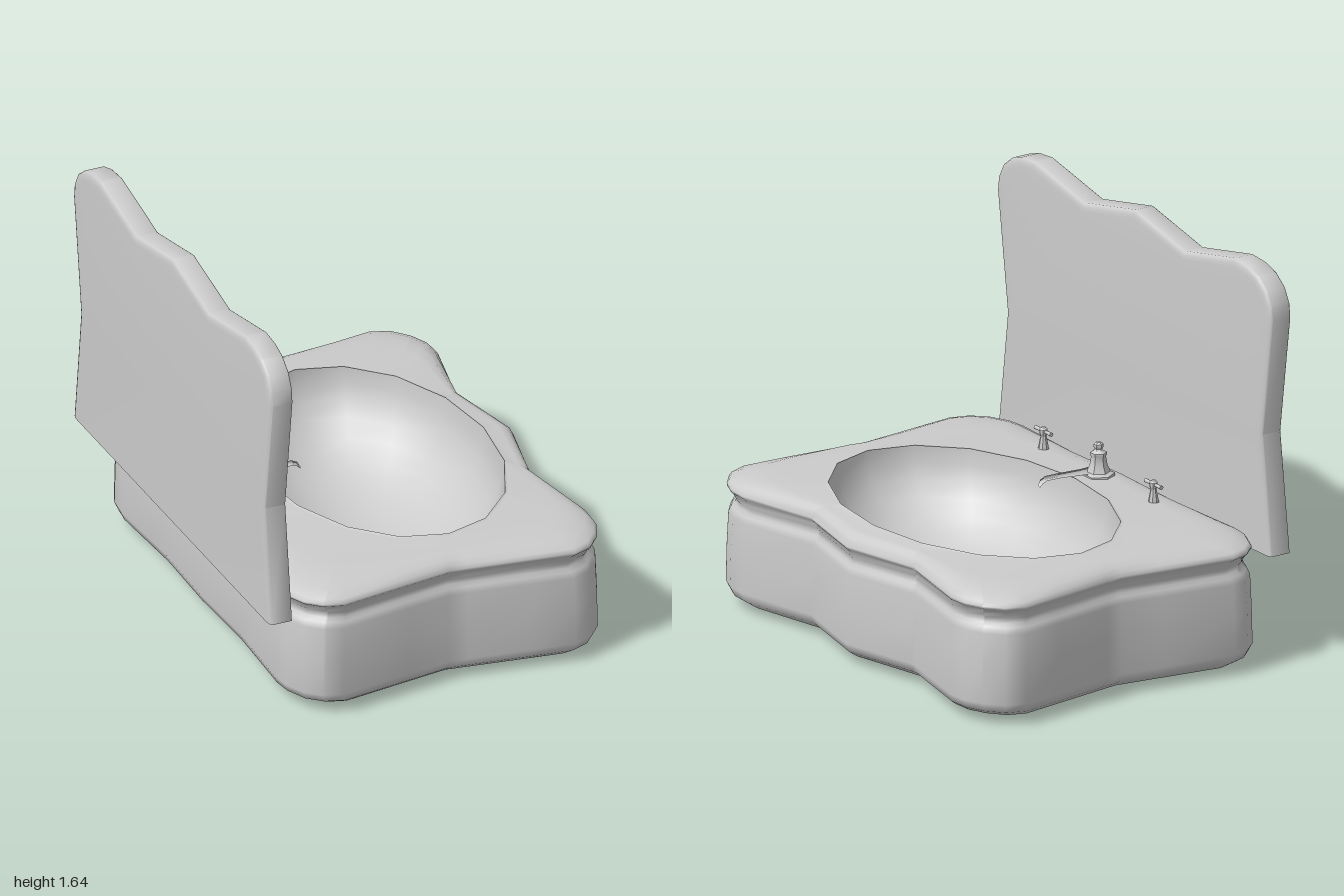
import * as THREE from 'three';
import { toCreasedNormals } from 'three/addons/utils/BufferGeometryUtils.js';

const material = new THREE.MeshStandardMaterial({ color: 0xcccccc });

function addMesh(parent, name, geometry) {
  const mesh = new THREE.Mesh(geometry, material);
  mesh.name = name;
  parent.add(mesh);
  return mesh;
}

// Skin closed rings of [x, y, z] points, one ring after another
function loft(rings) {
  const n = rings[0].length, index = [];
  for (let i = 0; i < rings.length - 1; i++) {
    for (let j = 0; j < n; j++) {
      const a = i * n + j, b = i * n + (j + 1) % n;
      index.push(a, a + n, b, b, a + n, b + n);
    }
  }
  const geometry = new THREE.BufferGeometry();
  geometry.setAttribute('position', new THREE.Float32BufferAttribute(rings.flat(2), 3));
  geometry.setIndex(index);
  geometry.computeVertexNormals();
  return geometry;
}

// Lathe with a few sides and crisp edges
const turned = (profile, sides) => toCreasedNormals(
  new THREE.LatheGeometry(profile.map(([r, y]) => new THREE.Vector2(r, y)), sides), 0.6);

// Plan of the basin: half outline, mirrored across z
const half = [[0.75, 0], [0.67, 0.36], [0.75, 0.73], [0.745, 0.82], [0.71, 0.9], [0.65, 0.97],
  [0.57, 1], [0.05, 0.925], [-0.45, 1], [-0.53, 0.975], [-0.59, 0.92], [-0.63, 0.83],
  [-0.64, 0.75], [-0.622, 0.36], [-0.632, 0]];
const outline = [...half, ...half.slice(1, -1).reverse().map(([x, z]) => [x, -z])];

// Sixteen-sided oval of the bowl
const BOWL_X = 0.125, MID_X = 0.055, RIM_Y = 0.566;
const oval = Array.from({ length: 16 }, (_, i) => {
  const t = i * Math.PI / 8;
  return [BOWL_X + 0.49 * Math.cos(t), 0.745 * Math.sin(t)];
});

// Point where a ray from the bowl centre crosses a polygon
function rayHit(polygon, t) {
  const dx = Math.cos(t), dz = Math.sin(t);
  let best = 0;
  polygon.forEach(([x1, z1], i) => {
    const [x2, z2] = polygon[(i + 1) % polygon.length];
    const ex = x2 - x1, ez = z2 - z1, det = dx * ez - dz * ex;
    if (Math.abs(det) < 1e-9) return;
    const r = ((x1 - BOWL_X) * ez - z1 * ex) / det;
    const s = ((x1 - BOWL_X) * dz - z1 * dx) / det;
    if (r > 0 && s > -1e-6 && s < 1 + 1e-6) best = Math.max(best, r);
  });
  return [BOWL_X + dx * best, dz * best];
}

function basinGeometry() {
  const angles = [...outline, ...oval]
    .map(([x, z]) => (Math.atan2(z, x - BOWL_X) + 2 * Math.PI) % (2 * Math.PI))
    .sort((a, b) => a - b)
    .filter((t, i, all) => i === 0 || t - all[i - 1] > 1e-4);
  const outer = angles.map(t => rayHit(outline, t));
  const inner = angles.map(t => rayHit(oval, t));
  const inset = (d, y) => outer.map(([x, z]) =>
    [MID_X + (x - MID_X) * (1 - d / 0.695), y, z * (1 - d)]);
  const deck = (k, y) => outer.map(([x, z], i) =>
    [x + (inner[i][0] - x) * k, y, z + (inner[i][1] - z) * k]);
  // Underside, rounded foot, wall, neck and lip
  const sides = [[0.695, 0], [0.22, 0], [0.18, 0.001], [0.1, 0.011], [0.05, 0.028], [0.015, 0.053],
    [0, 0.09], [0.003, 0.25], [0.008, 0.385], [0.018, 0.41], [0.03, 0.425], [0.032, 0.445],
    [0.022, 0.46], [0.022, 0.475], [0.004, 0.492], [0.003, 0.502], [0.012, 0.518]];
  // Domed deck running in to the bowl
  const top = [[0.14, 0.536], [0.3, 0.55], [0.5, 0.556], [0.97, 0.56], [1, RIM_Y]];
  return loft([...sides.map(p => inset(...p)), ...top.map(p => deck(...p))]);
}

function bowlGeometry() {
  const rings = [];
  for (let i = 0; i <= 10; i++) {
    const t = i / 10 * Math.PI / 2, k = Math.cos(t);
    rings.push(oval.map(([x, z]) =>
      [BOWL_X + (x - BOWL_X) * k, RIM_Y - 0.42 * Math.sin(t), z * k]));
  }
  return loft(rings);
}

// Scalloped splashback, with softened edges and a square cut base
function splashbackGeometry() {
  const edge = [[0.955, 0.38], [0.955, 0.45], [0.89, 0.95], [0.96, 1.45], [0.953, 1.51], [0.92, 1.57],
    [0.86, 1.615], [0.79, 1.638], [0.7, 1.645], [0.35, 1.572], [0, 1.645]];
  const b = 0.035;
  const points = [...edge, ...edge.slice(0, -1).reverse().map(([z, y]) => [-z, y])];
  const shape = new THREE.Shape(points.map(p => new THREE.Vector2(...p)));
  const geometry = new THREE.ExtrudeGeometry(shape, {
    depth: 0.081, bevelSize: b, bevelOffset: -b, bevelThickness: 0.012, bevelSegments: 3,
  });
  geometry.rotateY(Math.PI / 2).translate(-0.743, 0, 0);
  const pos = geometry.attributes.position;
  for (let i = 0; i < pos.count; i++) pos.setY(i, Math.max(0.45, pos.getY(i)));
  return toCreasedNormals(geometry, 0.7);
}

function createTap() {
  const tap = new THREE.Group();
  tap.name = 'tap';
  tap.position.set(-0.48, 0.55, 0);
  addMesh(tap, 'tapColumn', turned([[0.066, 0], [0.066, 0.014], [0.048, 0.022], [0.036, 0.05],
    [0.03, 0.085], [0.034, 0.095], [0.034, 0.103], [0.018, 0.112], [0.015, 0.118], [0.021, 0.128],
    [0.02, 0.138], [0.011, 0.146], [0, 0.147]], 6));
  // Spout sections: x, y, half height, half width
  const sections = [[0, 0.03, 0, 0], [0, 0.03, 0.016, 0.03], [0.08, 0.034, 0.012, 0.021],
    [0.18, 0.041, 0.011, 0.014], [0.255, 0.043, 0.011, 0.011], [0.278, 0.033, 0.01, 0.012],
    [0.288, 0.018, 0.006, 0.01], [0.288, 0.018, 0, 0]];
  addMesh(tap, 'spout', toCreasedNormals(loft(sections.map(([x, y, h, w]) =>
    Array.from({ length: 8 }, (_, i) => {
      const t = i * Math.PI / 4;
      return [x, y + h * Math.cos(t), w * Math.sin(t)];
    }))), 0.9));
  return tap;
}

function createHandle(z) {
  const handle = new THREE.Group();
  handle.name = 'handle';
  handle.position.set(-0.48, 0.55, z);
  addMesh(handle, 'handleStem', turned([[0.022, 0], [0.021, 0.015], [0.012, 0.06], [0.017, 0.07],
    [0.017, 0.088], [0.01, 0.096], [0, 0.097]], 8));
  for (const side of [-1, 1]) {
    const arm = addMesh(handle, 'handleArm', new THREE.CylinderGeometry(0.009, 0.006, 0.05, 8));
    arm.rotation.x = side * Math.PI / 2;
    arm.position.set(0, 0.08, side * 0.031);
  }
  return handle;
}

export function createModel() {
  const model = new THREE.Group();
  model.name = 'washbasin';
  addMesh(model, 'basinBody', basinGeometry());
  addMesh(model, 'bowl', bowlGeometry());
  addMesh(model, 'splashback', splashbackGeometry());
  model.add(createTap(), createHandle(-0.385), createHandle(0.385));
  return model;
}
